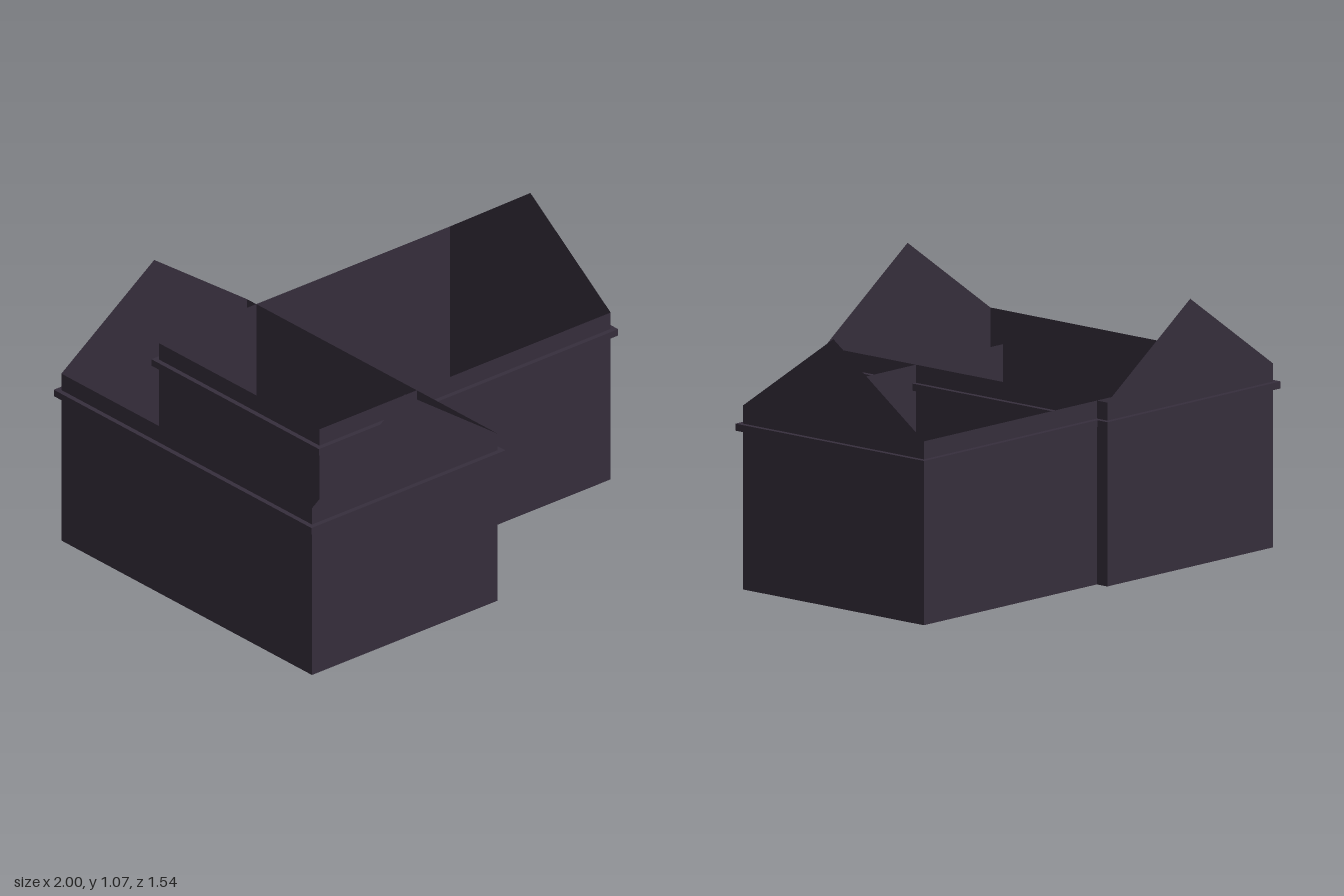
import * as THREE from 'three';

const EAVE = 0.735, PEAK = 1.072, BAND_Y = 0.635, BAND_H = 0.028, BAND_OUT = 0.021;

const wallPaint = new THREE.MeshStandardMaterial({ color: 0x362e3c, side: THREE.DoubleSide });
wallPaint.name = 'dark plum';

// Thin upright wall centred on its own origin, with or without a gable point
function wall(name, width, gabled) {
  const h = width / 2;
  const shape = new THREE.Shape();
  shape.moveTo(-h, 0);
  shape.lineTo(h, 0);
  shape.lineTo(h, EAVE);
  if (gabled) shape.lineTo(0, PEAK);
  shape.lineTo(-h, EAVE);
  shape.closePath();
  const mesh = new THREE.Mesh(new THREE.ShapeGeometry(shape), wallPaint);
  mesh.name = name;
  return mesh;
}

function rectangle(target, hx, hy) {
  target.moveTo(-hx, -hy);
  target.lineTo(hx, -hy);
  target.lineTo(hx, hy);
  target.lineTo(-hx, hy);
  target.closePath();
  return target;
}

// Open-topped wing running along z, with a gable at the front and optionally the back
function wing(name, width, length, backGable) {
  const group = new THREE.Group();
  group.name = name;

  const front = wall('frontGableWall', width, true);
  front.position.z = length / 2;
  const back = wall(backGable ? 'backGableWall' : 'innerEndWall', width, backGable);
  back.position.z = -length / 2;
  back.rotation.y = Math.PI;
  group.add(front, back);

  for (const side of [-1, 1]) {
    const flank = wall(side > 0 ? 'leftSideWall' : 'rightSideWall', length, false);
    flank.position.x = side * width / 2;
    flank.rotation.y = side * Math.PI / 2;
    group.add(flank);
  }

  // Trim band wrapped around the outside below the eaves
  const ring = rectangle(new THREE.Shape(), width / 2 + BAND_OUT, length / 2 + BAND_OUT);
  ring.holes.push(rectangle(new THREE.Path(), width / 2, length / 2));
  const geometry = new THREE.ExtrudeGeometry(ring, { depth: BAND_H, bevelEnabled: false });
  geometry.rotateX(-Math.PI / 2);
  const band = new THREE.Mesh(geometry, wallPaint);
  band.name = 'eavesBand';
  band.position.y = BAND_Y;
  group.add(band);
  return group;
}

export function createModel() {
  const model = new THREE.Group();
  model.name = 'house';

  const mainWing = wing('mainWing', 0.958, 1.496, true);
  mainWing.position.x = -0.5;

  // Cross wing turned to face +x, its inner end reaching into the main wing
  const crossWing = wing('crossWing', 0.958, 1.502, false);
  crossWing.rotation.y = Math.PI / 2;
  crossWing.position.set(0.228, 0, -0.214);

  model.add(mainWing, crossWing);
  return model;
}
